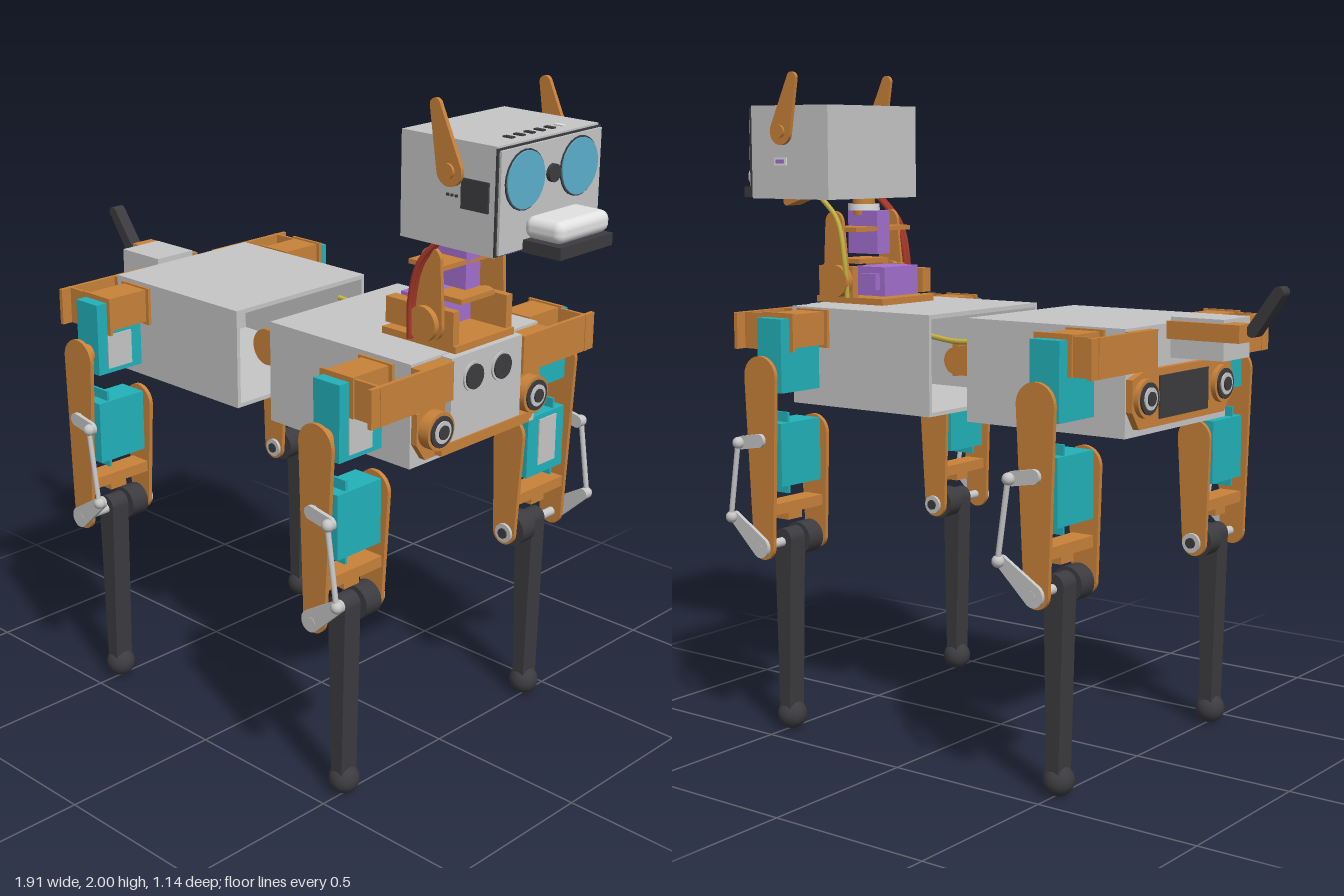
import * as THREE from 'three';
import { RoundedBoxGeometry } from 'three/addons/geometries/RoundedBoxGeometry.js';

const mat = (name, color) => {
  const m = new THREE.MeshStandardMaterial({ color });
  m.name = name;
  return m;
};

export function createModel() {
  const grey = mat('light grey shell', 0xc6c6c6), orange = mat('orange bracket', 0xc9823a);
  const teal = mat('teal servo', 0x22b2ba), dark = mat('dark rubber', 0x3c3c40);
  const purple = mat('purple servo', 0xa46fd0), blue = mat('blue lens', 0x5ab0cc);
  const red = mat('red cable', 0xa8382a), yellow = mat('yellow cable', 0xc8b444);
  const white = mat('white plastic', 0xe2e2e2);

  const root = new THREE.Group();
  root.name = 'robotDog';
  let parent = root;
  const add = (name, geo, m) => {
    const mesh = new THREE.Mesh(geo, m);
    mesh.name = name;
    parent.add(mesh);
    return mesh;
  };
  const group = (name, build) => {
    const g = new THREE.Group();
    g.name = name;
    root.add(g);
    parent = g;
    build();
    parent = root;
  };
  // Box given by its limits on each axis
  const box = (name, m, x0, x1, y0, y1, z0, z1) =>
    add(name, new THREE.BoxGeometry(Math.abs(x1 - x0), Math.abs(y1 - y0), Math.abs(z1 - z0)), m)
      .position.set((x0 + x1) / 2, (y0 + y1) / 2, (z0 + z1) / 2);
  // Round bar between two points
  const bar = (name, m, r, a, b) => {
    const p = new THREE.Vector3(...a), d = new THREE.Vector3(...b).sub(p);
    const mesh = add(name, new THREE.CylinderGeometry(r, r, d.length(), 24), m);
    mesh.position.copy(p).addScaledVector(d, 0.5);
    mesh.quaternion.setFromUnitVectors(new THREE.Vector3(0, 1, 0), d.normalize());
  };
  // Upright plate with two rounded ends of different radius, between z0 and z1
  const link = (name, m, xa, ya, ra, xb, yb, rb, z0, z1) => {
    const t = Math.atan2(yb - ya, xb - xa), q = Math.PI / 2;
    const s = new THREE.Shape();
    s.absarc(xb, yb, rb, t - q, t + q);
    s.absarc(xa, ya, ra, t + q, t + 3 * q);
    const geo = new THREE.ExtrudeGeometry(s, { depth: Math.abs(z1 - z0), bevelEnabled: false, curveSegments: 12 });
    add(name, geo, m).position.z = Math.min(z0, z1);
  };
  const cable = (name, m, pts) => {
    const curve = new THREE.CatmullRomCurve3(pts.map(p => new THREE.Vector3(...p)));
    add(name, new THREE.TubeGeometry(curve, 24, 0.008, 8), m);
  };

  // Two hollow body shells, open where they face each other
  for (const e of [-1, 1]) group(e > 0 ? 'frontBody' : 'rearBody', () => {
    const xi = e > 0 ? 0.06 : -0.08, xo = e > 0 ? 0.6 : -0.62;
    box('topPanel', grey, xi, xo, 1.275, 1.288, -0.27, 0.27);
    box('bottomPanel', grey, xi, xo, 0.988, 1.0, -0.27, 0.27);
    box('endPanel', grey, xo - e * 0.012, xo, 1.0, 1.275, -0.27, 0.27);
    for (const s of [-1, 1]) {
      box('sidePanel', grey, xi, xo, 1.0, 1.275, s * 0.258, s * 0.27);
      // Hip crossbar and its return flange
      box('hipCrossbar', orange, e * 0.635, e * 0.648, 1.17, 1.28, s * 0.15, s * 0.475);
      box('hipFlange', orange, e * 0.555, e * 0.65, 1.17, 1.28, s * 0.432, s * 0.442);
      box('crossbarMount', orange, xo, e * 0.636, 1.17, 1.28, s * 0.15, s * 0.27);
      // Hip drive
      bar('hipBoss', orange, 0.055, [xo, 1.095, s * 0.205], [e * 0.655, 1.095, s * 0.205]);
      bar('hipRing', dark, 0.045, [e * 0.65, 1.095, s * 0.205], [e * 0.66, 1.095, s * 0.205]);
      bar('hipDisc', grey, 0.032, [e * 0.655, 1.095, s * 0.205], [e * 0.664, 1.095, s * 0.205]);
      bar('hipScrew', dark, 0.02, [e * 0.655, 1.095, s * 0.205], [e * 0.668, 1.095, s * 0.205]);
    }
    // Tapered end plate
    const s = new THREE.Shape([[-0.265, 1.06], [-0.23, 1.01], [0.23, 1.01], [0.265, 1.06], [0.265, 1.15], [0.2, 1.17], [-0.2, 1.17], [-0.265, 1.15]]
      .map(p => new THREE.Vector2(...p)));
    const plate = add('endBracket', new THREE.ExtrudeGeometry(s, { depth: 0.02, bevelEnabled: false }), orange);
    plate.rotation.y = e * Math.PI / 2;
    plate.position.x = xo;
    if (e > 0) {
      box('chestPanel', grey, 0.6, 0.64, 1.045, 1.285, -0.15, 0.15);
      box('chestSill', orange, 0.6, 0.645, 1.015, 1.045, -0.19, 0.19);
      for (const z of [-0.06, 0.06]) {
        bar('sensorRing', grey, 0.043, [0.63, 1.215, z], [0.645, 1.215, z]);
        bar('rangeSensor', dark, 0.036, [0.63, 1.215, z], [0.65, 1.215, z]);
      }
    } else {
      box('rearControlPanel', dark, -0.645, -0.62, 1.03, 1.15, -0.13, 0.13);
      box('batteryCover', dark, -0.5, -0.18, 0.981, 0.989, -0.18, 0.18);
    }
  });

  // Waist joint between the shells
  group('waist', () => {
    box('waistServo', teal, -0.06, 0.06, 1.06, 1.23, -0.045, 0.045);
    box('rearWaistBar', orange, -0.08, -0.05, 1.1, 1.21, -0.16, 0.16);
    box('frontWaistBar', orange, 0.04, 0.06, 1.1, 1.2, -0.16, 0.16);
    for (const s of [-1, 1]) link('waistArm', orange, -0.07, 1.155, 0.055, 0.05, 1.145, 0.04, s * 0.15, s * 0.162);
    cable('waistCable', yellow, [[-0.12, 1.22, -0.2], [0, 1.21, -0.21], [0.12, 1.22, -0.2]]);
  });

  // Four legs
  for (const x of [-0.505, 0.495]) for (const s of [-1, 1]) group((x > 0 ? 'front' : 'rear') + (s > 0 ? 'Near' : 'Far') + 'Leg', () => {
    // Hip housing and servos
    box('hipHousing', orange, x - 0.05, x + 0.05, 1.18, 1.28, s * 0.29, s * 0.44);
    for (const z of [0.288, 0.438]) box('housingFlange', orange, x - 0.062, x + 0.062, 1.17, 1.285, s * z, s * (z + 0.01));
    box('hipServo', teal, x - 0.048, x + 0.048, 1.05, 1.27, s * 0.32, s * 0.485);
    box('kneeServo', teal, x - 0.048, x + 0.048, 0.77, 0.96, s * 0.32, s * 0.49);
    box('kneeServoTab', teal, x - 0.04, x + 0.04, 0.745, 0.99, s * 0.445, s * 0.453);
    if (s > 0) box('servoLabel', grey, x + 0.048, x + 0.052, 1.065, 1.17, 0.36, 0.45);
    else box('servoLabel', grey, x + 0.048, x + 0.052, 0.8, 0.945, -0.45, -0.37);
    bar('hipHorn', orange, 0.03, [x, 1.11, s * 0.48], [x, 1.11, s * 0.52]);
    // Thigh plates and cross brace
    link('outerThighPlate', orange, x - 0.005, 0.59, 0.04, x, 1.1, 0.062, s * 0.515, s * 0.528);
    link('innerThighPlate', orange, x - 0.005, 0.59, 0.04, x, 0.91, 0.055, s * 0.287, s * 0.3);
    box('thighBrace', orange, x - 0.035, x + 0.035, 0.685, 0.718, s * 0.29, s * 0.52);
    box('braceBlock', orange, x - 0.025, x + 0.025, 0.66, 0.69, s * 0.38, s * 0.44);
    // Knee and shin
    bar('kneePulley', dark, 0.05, [x, 0.59, s * 0.315], [x, 0.59, s * 0.375]);
    bar('kneeShaft', grey, 0.014, [x, 0.59, s * 0.28], [x, 0.59, s * 0.545]);
    bar('kneeCap', grey, 0.03, [x, 0.59, s * 0.278], [x, 0.59, s * 0.29]);
    bar('kneeScrew', dark, 0.016, [x, 0.59, s * 0.273], [x, 0.59, s * 0.285]);
    link('shin', dark, x, 0.06, 0.02, x - 0.002, 0.598, 0.033, s * 0.38, s * 0.442);
    add('foot', new THREE.SphereGeometry(0.045, 24, 16), dark).position.set(x, 0.045, s * 0.41);
    // Push-rod linkage
    bar('servoHorn', grey, 0.02, [x, 0.91, s * 0.48], [x, 0.91, s * 0.54]);
    link('crankArm', grey, x - 0.005, 0.912, 0.02, x + 0.065, 0.9, 0.02, s * 0.532, s * 0.544);
    link('kneeLever', grey, x - 0.005, 0.59, 0.032, x + 0.1, 0.67, 0.018, s * 0.532, s * 0.544);
    bar('pushRod', grey, 0.008, [x + 0.07, 0.9, s * 0.552], [x + 0.104, 0.672, s * 0.552]);
    for (const [px, py] of [[0.07, 0.9], [0.104, 0.672]])
      add('ballJoint', new THREE.SphereGeometry(0.018, 16, 10), grey).position.set(x + px, py, s * 0.55);
  });

  // Tail
  group('tail', () => {
    box('tailServo', grey, -0.79, -0.62, 1.19, 1.305, -0.04, 0.105);
    box('tailBracket', orange, -0.85, -0.62, 1.245, 1.295, -0.062, -0.045);
    box('tailClamp', orange, -0.85, -0.79, 1.245, 1.295, -0.06, 0.015);
    link('tailTip', dark, -0.865, 1.277, 0.018, -0.942, 1.385, 0.016, -0.02, 0.02);
  });

  // Neck with two servos and cables
  group('neck', () => {
    box('neckBase', orange, 0.36, 0.63, 1.29, 1.31, -0.125, 0.125);
    box('turnServo', purple, 0.38, 0.5, 1.315, 1.405, -0.09, 0.07);
    box('turnServoTab', purple, 0.4, 0.46, 1.335, 1.385, -0.11, 0.1);
    box('baseBlock', orange, 0.36, 0.45, 1.32, 1.395, 0.07, 0.11);
    for (const s of [-1, 1]) {
      bar('neckPivot', orange, 0.05, [0.53, 1.36, s * 0.11], [0.53, 1.36, s * 0.155]);
      box('pivotBlock', orange, 0.48, 0.62, 1.31, 1.405, s * 0.1, s * 0.125);
      link('neckPlate', orange, 0.54, 1.36, 0.05, 0.545, 1.54, 0.035, s * 0.125, s * 0.137);
    }
    box('neckCrossPlate', orange, 0.46, 0.58, 1.512, 1.526, -0.13, 0.13);
    box('neckLowerPlate', orange, 0.5, 0.6, 1.41, 1.425, -0.07, 0.07);
    box('tiltServo', purple, 0.46, 0.58, 1.44, 1.575, -0.03, 0.03);
    bar('neckCollar', white, 0.05, [0.54, 1.575, 0], [0.54, 1.595, 0]);
    bar('neckPost', orange, 0.035, [0.54, 1.56, 0], [0.54, 1.62, 0]);
    for (const z of [0.14, 0.155])
      cable('redCable', red, [[0.49, 1.31, z], [0.49, 1.42, z], [0.52, 1.53, z], [0.59, 1.62, z - 0.02]]);
    cable('yellowCable', yellow, [[0.49, 1.31, -0.14], [0.49, 1.42, -0.15], [0.52, 1.55, -0.15], [0.59, 1.63, -0.16]]);
  });

  // Head
  group('head', () => {
    box('headShell', grey, 0.5, 0.82, 1.612, 1.9, -0.21, 0.21);
    box('faceTrim', dark, 0.82, 0.826, 1.615, 1.895, -0.213, 0.213);
    box('facePlate', grey, 0.826, 0.833, 1.62, 1.89, -0.207, 0.207);
    for (const s of [-1, 1]) {
      bar('eyeRim', dark, 0.08, [0.83, 1.803, s * 0.112], [0.836, 1.803, s * 0.112]);
      bar('eyeLens', blue, 0.076, [0.83, 1.803, s * 0.112], [0.84, 1.803, s * 0.112]);
      link('ear', orange, 0.68, 1.82, 0.042, 0.63, 1.982, 0.018, s * 0.218, s * 0.23);
      bar('earPivot', orange, 0.02, [0.68, 1.82, s * 0.205], [0.68, 1.82, s * 0.238]);
    }
    bar('camera', dark, 0.024, [0.83, 1.803, 0], [0.845, 1.803, 0]);
    // Muzzle and jaw
    add('muzzle', new RoundedBoxGeometry(0.125, 0.06, 0.215, 4, 0.025), white).position.set(0.89, 1.677, 0);
    box('jaw', dark, 0.83, 0.955, 1.612, 1.645, -0.11, 0.11);
    link('jawHorn', orange, 0.79, 1.615, 0.012, 0.845, 1.598, 0.014, -0.03, 0.03);
    // Side display, port and top slots
    box('sideDisplay', dark, 0.71, 0.8, 1.725, 1.805, 0.21, 0.216);
    for (let i = 0; i < 3; i++) box('ventHole', dark, 0.66 + i * 0.014, 0.668 + i * 0.014, 1.75, 1.757, 0.21, 0.214);
    box('sidePort', white, 0.67, 0.72, 1.715, 1.74, -0.215, -0.21);
    box('portSlot', purple, 0.678, 0.712, 1.721, 1.734, -0.217, -0.212);
    for (let i = 0; i < 6; i++)
      box('topSlot', i ? dark : white, 0.755, 0.785, 1.9, 1.904, -0.115 + i * 0.042, -0.1 + i * 0.042);
  });

  return root;
}
